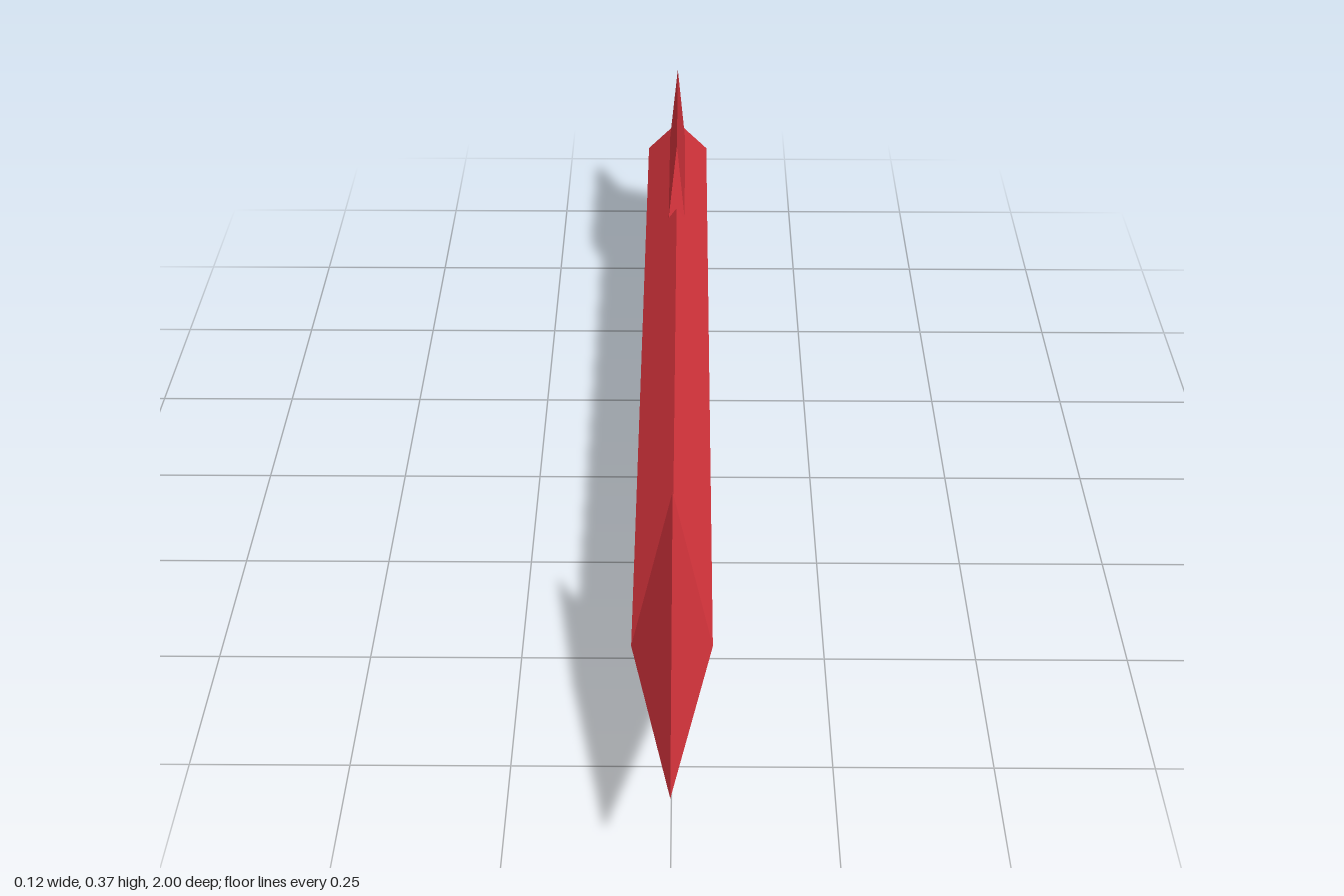
import * as THREE from 'three';
import { ConvexGeometry } from 'three/addons/geometries/ConvexGeometry.js';

const R = 0.0625; // half width of shaft and head
const AXIS = 0.187; // height of the arrow's axis

export function createModel() {
  const red = new THREE.MeshStandardMaterial({ color: 0xc93038 });
  red.name = 'red';
  const arrow = new THREE.Group();
  arrow.name = 'arrow';

  const add = (name, geometry) => {
    const mesh = new THREE.Mesh(geometry, red);
    mesh.name = name;
    mesh.position.y = AXIS;
    arrow.add(mesh);
  };

  // Four-sided shaft, edges pointing up, down and sideways; it ends inside the head
  const back = -0.95, front = 0.68;
  const shaft = new THREE.CylinderGeometry(R, R, front - back, 4).toNonIndexed();
  shaft.rotateX(Math.PI / 2).translate(0, 0, (front + back) / 2);
  shaft.computeVertexNormals();
  add('shaft', shaft);

  // Barbed head: a ring of four corners joined to the tip and to a notch behind
  const tip = [0, 0, 1], notch = [0, 0, 0.573];
  const ring = [[R, 0, 0.68], [0, 0.186, 0.535], [-R, 0, 0.68], [0, -0.186, 0.535]];
  const corners = [];
  ring.forEach((a, i) => {
    const b = ring[(i + 1) % 4];
    corners.push(...a, ...b, ...tip, ...b, ...a, ...notch);
  });
  const head = new THREE.BufferGeometry();
  head.setAttribute('position', new THREE.Float32BufferAttribute(corners, 3));
  head.computeVertexNormals();
  add('head', head);

  // Swept fins, wide at the root and sharp along the outer edge
  for (const [name, s] of [['upperFin', 1], ['lowerFin', -1]]) {
    add(name, new ConvexGeometry([
      [0.016, 0.047, -0.56], [-0.016, 0.047, -0.56],
      [0.016, 0.047, -0.91], [-0.016, 0.047, -0.91],
      [0, 0.164, -0.645], [0, 0.164, -1],
    ].map(([x, y, z]) => new THREE.Vector3(x, s * y, z))));
  }
  return arrow;
}
